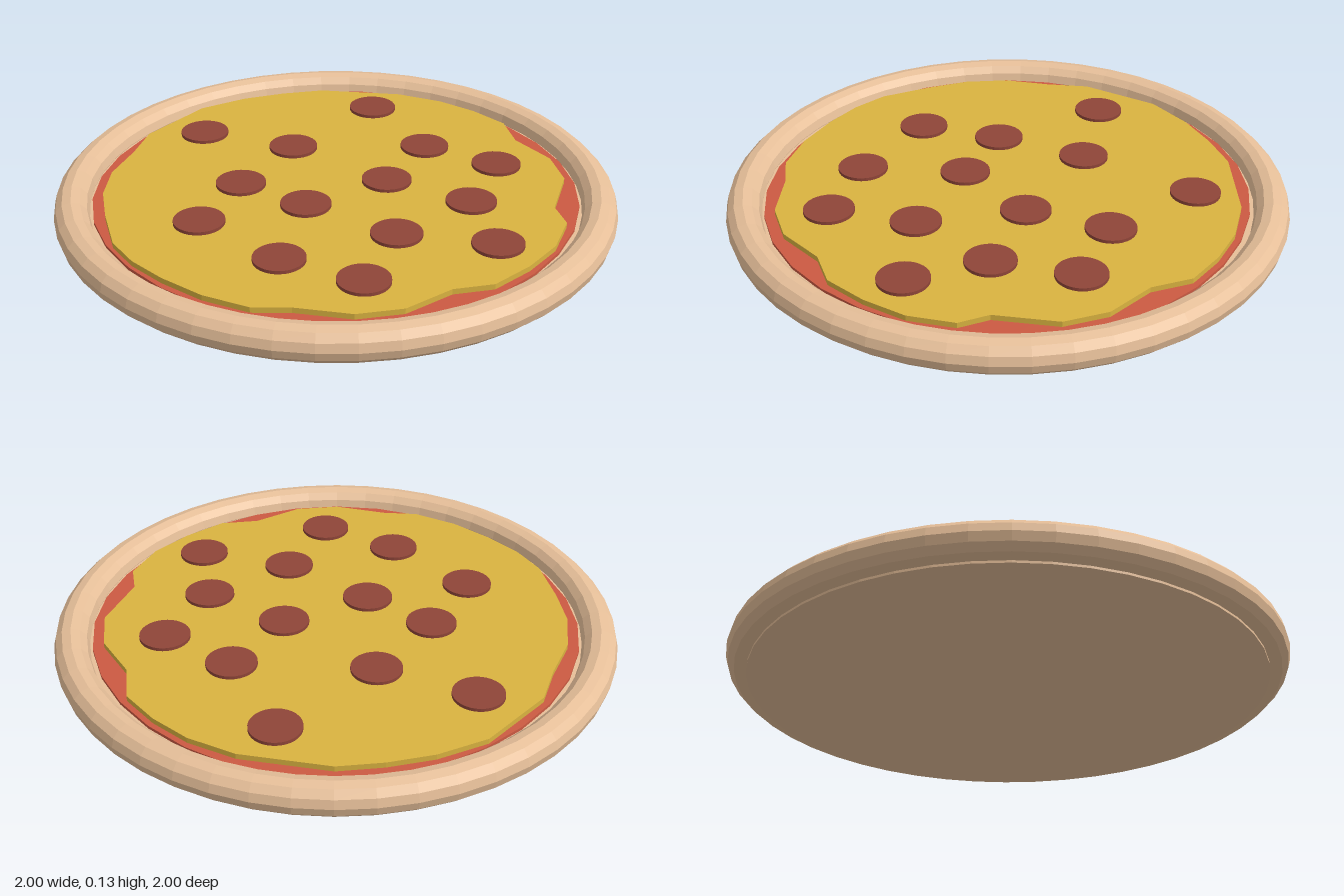
import * as THREE from 'three';

const mat = (color) => new THREE.MeshStandardMaterial({ color, flatShading: true });

export function createModel() {
  const pizza = new THREE.Group();
  pizza.name = 'pizza';
  const dough = mat(0xe6bf99), sauceRed = mat(0xcc5a42), cheeseYellow = mat(0xdab340), meat = mat(0x8f4538);

  const add = (name, geometry, material, x = 0, y = 0, z = 0) => {
    const mesh = new THREE.Mesh(geometry, material);
    mesh.name = name;
    mesh.position.set(x, y, z);
    pizza.add(mesh);
    return mesh;
  };

  // Flat slab with an outline given as [x, z] points, between two heights
  const slab = (points, bottom, top) => {
    const shape = new THREE.Shape(points.map(([x, z]) => new THREE.Vector2(x, -z)));
    const geometry = new THREE.ExtrudeGeometry(shape, { depth: top - bottom, bevelEnabled: false });
    return geometry.rotateX(-Math.PI / 2).translate(0, bottom, 0);
  };

  // Dough: flat base and rolled rim
  add('base', new THREE.CylinderGeometry(0.925, 0.925, 0.065, 48), dough, 0, 0.0325, 0);
  add('crust', new THREE.TorusGeometry(0.9375, 0.0625, 12, 48).rotateX(-Math.PI / 2), dough, 0, 0.0675, 0);

  // Sauce: slightly uneven disc
  const saucePoints = Array.from({ length: 32 }, (_, i) => {
    const a = (i / 32) * Math.PI * 2;
    const r = 0.868 - 0.014 * Math.sin(2 * a) ** 2;
    return [r * Math.cos(a), r * Math.sin(a)];
  });
  add('sauce', slab(saucePoints, 0.05, 0.076), sauceRed);

  // Cheese: irregular melted edge
  const cheesePoints = [
    [0, -0.83], [0.31, -0.77], [0.47, -0.69], [0.59, -0.59], [0.69, -0.47],
    [0.71, -0.32], [0.81, -0.16], [0.83, 0], [0.75, 0.21], [0.77, 0.32],
    [0.70, 0.47], [0.59, 0.59], [0.46, 0.69], [0.32, 0.71], [0.16, 0.81],
    [0, 0.83], [-0.19, 0.78], [-0.32, 0.77], [-0.47, 0.69], [-0.60, 0.58],
    [-0.70, 0.47], [-0.77, 0.35], [-0.81, 0.16], [-0.83, 0], [-0.81, -0.16],
    [-0.74, -0.32], [-0.69, -0.47], [-0.49, -0.69], [-0.32, -0.77], [-0.16, -0.81],
  ];
  add('cheese', slab(cheesePoints, 0.07, 0.096), cheeseYellow);

  // Pepperoni slices
  const slice = new THREE.CylinderGeometry(0.09, 0.09, 0.02, 32);
  [
    [0.19, -0.64], [-0.475, -0.46], [-0.14, -0.315], [0.355, -0.285], [0.60, -0.12],
    [-0.34, -0.035], [0.185, -0.025], [-0.115, 0.135], [0.465, 0.155], [-0.485, 0.23],
    [0.18, 0.36], [0.51, 0.45], [-0.22, 0.495], [0.045, 0.645],
  ].forEach(([x, z], i) => add(`pepperoni${i + 1}`, slice, meat, x, 0.098, z));

  return pizza;
}
